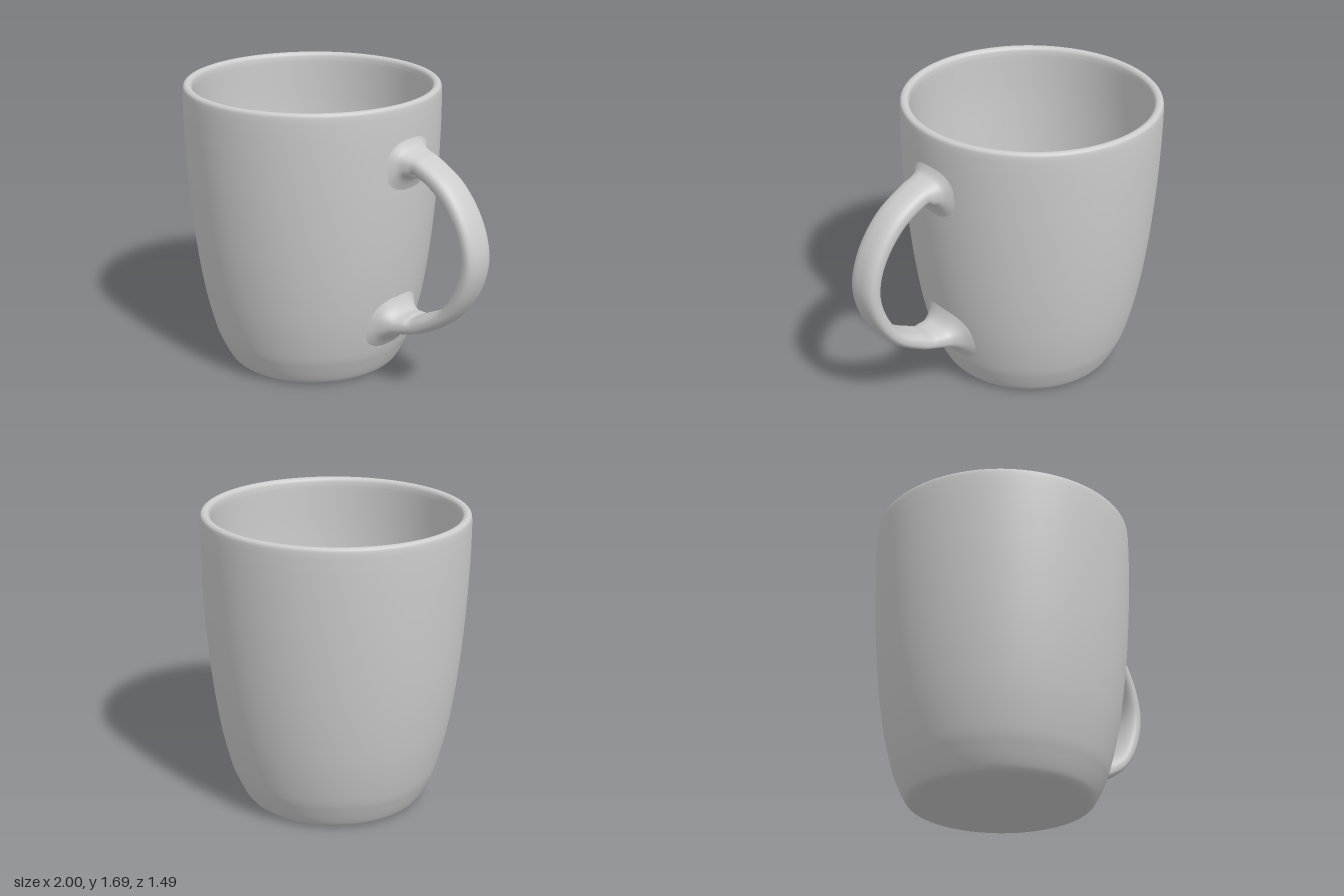
import * as THREE from 'three';

const AXIS_X = -0.257; // centre of the cup body

const material = () => new THREE.MeshStandardMaterial({ color: 0xcccccc });

const spline = (points) =>
  new THREE.SplineCurve(points.map(([r, y]) => new THREE.Vector2(r, y)));

// Cup body: one closed profile running up the outside, over the rim and down inside
function createBody() {
  const outer = spline([
    [0.488, 0.004], [0.512, 0.016], [0.535, 0.05], [0.568, 0.12], [0.602, 0.21],
    [0.648, 0.4], [0.681, 0.6], [0.705, 0.8], [0.722, 1.0], [0.734, 1.2],
    [0.741, 1.4], [0.743, 1.55], [0.742, 1.64],
  ]).getPoints(64);
  const rim = spline([
    [0.742, 1.64], [0.739, 1.672], [0.73, 1.685], [0.715, 1.689],
    [0.699, 1.684], [0.689, 1.67], [0.685, 1.64],
  ]).getPoints(24).slice(1);
  const inner = spline([
    [0.685, 1.64], [0.684, 1.4], [0.676, 1.2], [0.664, 1.0], [0.647, 0.8],
    [0.623, 0.6], [0.59, 0.4], [0.555, 0.24], [0.525, 0.15], [0.49, 0.1],
    [0.44, 0.082], [0.38, 0.08],
  ]).getPoints(56).slice(1);
  const profile = [
    new THREE.Vector2(0, 0), new THREE.Vector2(0.44, 0), new THREE.Vector2(0.47, 0),
    ...outer, ...rim, ...inner, new THREE.Vector2(0, 0.08),
  ];
  const body = new THREE.Mesh(new THREE.LatheGeometry(profile, 128), material());
  body.name = 'cupBody';
  body.position.x = AXIS_X;
  return body;
}

// Handle: rounded sections between an outer and an inner edge line, flared at the wall
function createHandle() {
  // outer x, outer y, inner x, inner y, half width, how far it follows the wall's curve
  const sections = [
    [0.475, 1.52, 0.465, 1.17, 0.22, 1],
    [0.492, 1.48, 0.482, 1.215, 0.165, 1],
    [0.515, 1.45, 0.505, 1.26, 0.13, 0.9],
    [0.56, 1.43, 0.545, 1.29, 0.11, 0.5],
    [0.62, 1.41, 0.6, 1.297, 0.1, 0],
    [0.8, 1.3, 0.73, 1.215, 0.098, 0],
    [0.94, 1.11, 0.85, 1.06, 0.098, 0],
    [0.995, 0.9, 0.893, 0.9, 0.098, 0],
    [0.95, 0.7, 0.86, 0.735, 0.098, 0],
    [0.82, 0.51, 0.76, 0.575, 0.098, 0],
    [0.65, 0.395, 0.6, 0.48, 0.1, 0],
    [0.54, 0.352, 0.525, 0.46, 0.11, 0.5],
    [0.46, 0.325, 0.46, 0.47, 0.13, 0.9],
    [0.39, 0.275, 0.43, 0.51, 0.165, 1],
    [0.345, 0.22, 0.405, 0.57, 0.22, 1],
  ];
  const outer = new THREE.CatmullRomCurve3(
    sections.map(([x, y, , , b]) => new THREE.Vector3(x, y, b)));
  const inner = new THREE.CatmullRomCurve3(
    sections.map(([, , x, y, , w]) => new THREE.Vector3(x, y, w)));

  const rings = 112, sides = 40;
  const round = (v) => Math.sign(v) * Math.abs(v) ** 0.78;
  const positions = [], indices = [];
  for (let i = 0; i <= rings; i++) {
    const o = outer.getPoint(i / rings), n = inner.getPoint(i / rings);
    for (let j = 0; j < sides; j++) {
      const a = (j / sides) * Math.PI * 2;
      const s = (1 + round(Math.cos(a))) / 2;
      const z = o.z * round(Math.sin(a));
      const bow = (n.z * z * z) / 1.42;
      positions.push(n.x + (o.x - n.x) * s - bow, n.y + (o.y - n.y) * s, z);
      if (i === rings) continue;
      const p = i * sides + j, q = i * sides + ((j + 1) % sides);
      indices.push(p, q, q + sides, p, q + sides, p + sides);
    }
  }
  const geometry = new THREE.BufferGeometry();
  geometry.setAttribute('position', new THREE.Float32BufferAttribute(positions, 3));
  geometry.setIndex(indices);
  geometry.computeVertexNormals();
  const handle = new THREE.Mesh(geometry, material());
  handle.name = 'handle';
  return handle;
}

export function createModel() {
  const mug = new THREE.Group();
  mug.name = 'mug';
  mug.add(createBody(), createHandle());
  return mug;
}
